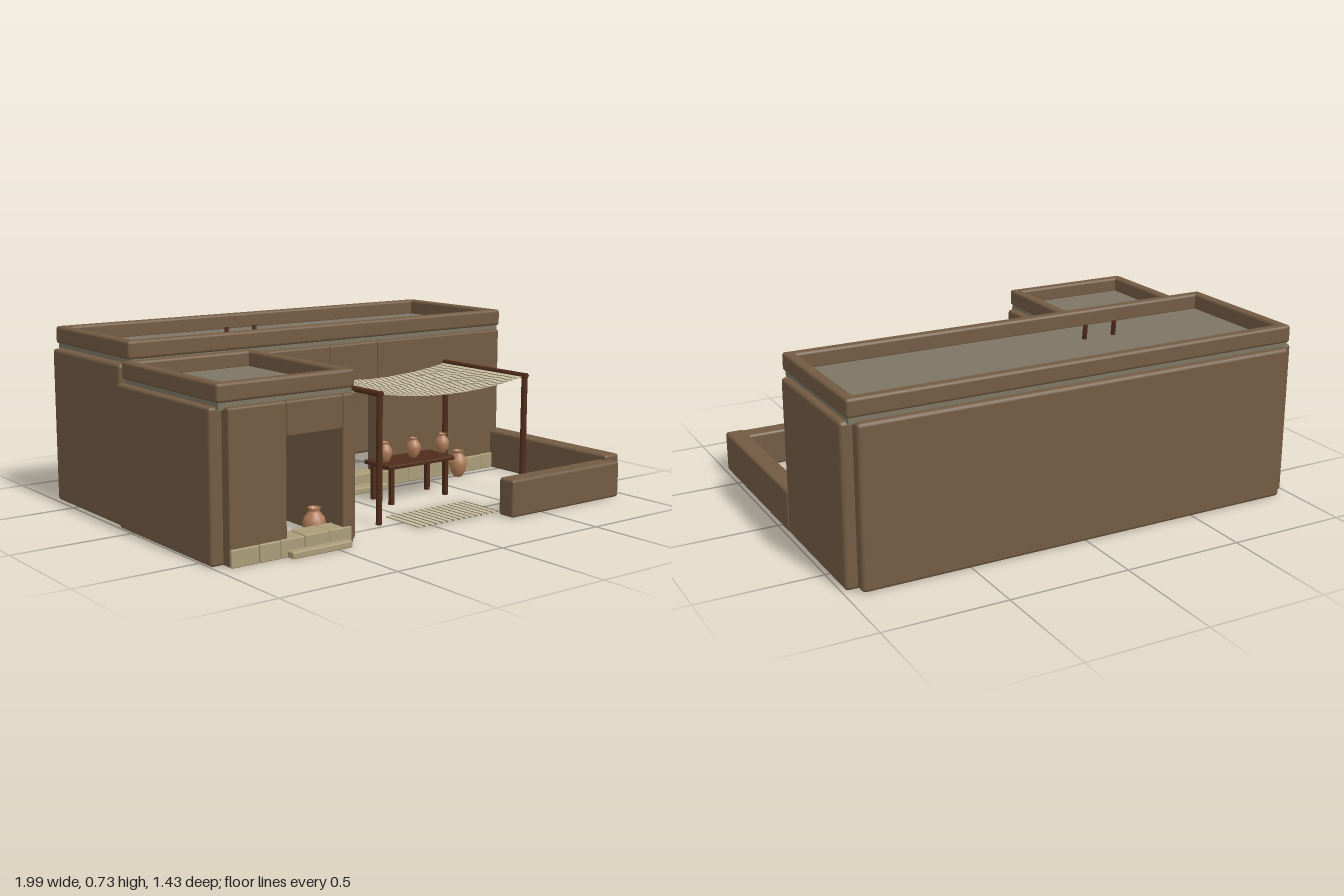
import * as THREE from 'three';
import { RoundedBoxGeometry } from 'three/addons/geometries/RoundedBoxGeometry.js';

const mat = (name, color, side = THREE.FrontSide) => {
  const m = new THREE.MeshStandardMaterial({ color, side });
  m.name = name;
  return m;
};

export function createModel() {
  const root = new THREE.Group();
  root.name = 'courtyardHouse';
  const mud = mat('mudBrick', 0x735b43);
  const roofClay = mat('roofClay', 0x7d7664);
  const stone = mat('paleStone', 0xab9d79);
  const wood = mat('darkWood', 0x4f2c1a);
  const clay = mat('terracotta', 0xb07c58);
  const reed = mat('paleReed', 0xc6bc9f, THREE.DoubleSide);
  const reedDark = mat('darkReed', 0x675f4d, THREE.DoubleSide);

  const add = (parent, name, geometry, material) => {
    const m = new THREE.Mesh(geometry, material);
    m.name = name;
    parent.add(m);
    return m;
  };
  const group = (name) => {
    const g = new THREE.Group();
    g.name = name;
    root.add(g);
    return g;
  };
  // Box given by its limits on each axis; r rounds the edges
  const block = (parent, name, material, [x0, x1], [y0, y1], [z0, z1], r = 0) => {
    const s = [x1 - x0, y1 - y0, z1 - z0];
    const g = r ? new RoundedBoxGeometry(...s, 2, r) : new THREE.BoxGeometry(...s);
    add(parent, name, g, material).position.set((x0 + x1) / 2, (y0 + y1) / 2, (z0 + z1) / 2);
  };
  // Round pole between two points
  const pole = (parent, name, a, b, r) => {
    const p = new THREE.Vector3(...a), q = new THREE.Vector3(...b);
    const m = add(parent, name, new THREE.CylinderGeometry(r, r, p.distanceTo(q), 10), wood);
    m.position.copy(p).lerp(q, 0.5);
    m.quaternion.setFromUnitVectors(new THREE.Vector3(0, 1, 0), q.sub(p).normalize());
  };
  // Four parapet beams round a roof slab
  const roof = (parent, x, z, ySlab, y) => {
    const t = 0.045;
    block(parent, 'roofSlab', roofClay, [x[0] + 0.01, x[1] - 0.01], ySlab, [z[0] + 0.01, z[1] - 0.01]);
    block(parent, 'parapetBack', mud, x, y, [z[0], z[0] + t], 0.012);
    block(parent, 'parapetFront', mud, x, y, [z[1] - t, z[1]], 0.012);
    block(parent, 'parapetRight', mud, [x[0], x[0] + t], y, z, 0.012);
    block(parent, 'parapetLeft', mud, [x[1] - t, x[1]], y, z, 0.012);
  };
  // Front wall with a doorway
  const doorWall = (parent, x, door, height, z) => {
    block(parent, 'frontWallRight', mud, [x[0], door[0]], [0, height], z, 0.008);
    block(parent, 'frontWallLeft', mud, [door[1], x[1]], [0, height], z, 0.008);
    block(parent, 'doorLintel', mud, door, [0.44, height], z, 0.008);
  };
  // Row of uneven base stones showing on both sides of a wall
  let seed = 7;
  const rand = () => (seed = (seed * 16807) % 2147483647) / 2147483647;
  const stones = (parent, x0, x1, z) => {
    const n = Math.round((x1 - x0) / 0.105), w = (x1 - x0) / n;
    let a = x0;
    for (let i = 0; i < n; i++) {
      const b = i === n - 1 ? x1 : x0 + (i + 1) * w + (rand() - 0.5) * 0.03;
      const d = rand() * 0.006;
      block(parent, 'baseStone', stone, [a + 0.001, b - 0.001], [0, 0.066 + rand() * 0.006], [z[0] + d, z[1] - d], 0.004);
      a = b;
    }
  };

  // Main house
  const house = group('mainHouse');
  const H = 0.643;
  block(house, 'backWall', mud, [-0.94, 0.94], [0, H], [-0.715, -0.64], 0.015);
  for (const s of [-1, 1]) {
    const x = s < 0 ? [-0.988, -0.912] : [0.912, 0.988];
    block(house, 'sideWall', mud, x, [0, H], [-0.67, -0.09], 0.015);
  }
  doorWall(house, [-0.94, 0.945], [-0.02, 0.235], H, [-0.115, -0.042]);
  stones(house, -0.94, 0.93, [-0.127, -0.03]);
  block(house, 'doorstep', stone, [-0.03, 0.245], [0, 0.026], [-0.04, 0.025], 0.005);
  roof(house, [-0.96, 0.97], [-0.695, -0.062], [0.635, 0.667], [0.66, 0.732]);

  // Lower side wing
  const wing = group('sideWing');
  const W = 0.57;
  block(wing, 'outerWall', mud, [-1, -0.93], [0, W], [-0.1, 0.58], 0.012);
  block(wing, 'innerWall', mud, [-0.425, -0.36], [0, W], [-0.1, 0.58], 0.012);
  doorWall(wing, [-0.95, -0.405], [-0.705, -0.455], W, [0.55, 0.625]);
  stones(wing, -0.95, -0.42, [0.538, 0.636]);
  block(wing, 'doorstep', stone, [-0.71, -0.44], [0, 0.026], [0.62, 0.667], 0.005);
  roof(wing, [-0.982, -0.385], [-0.085, 0.605], [0.56, 0.594], [0.586, 0.656]);

  // Courtyard walls
  const yard = group('courtyardWalls');
  block(yard, 'courtyardSideWall', mud, [0.906, 0.988], [0, 0.175], [-0.09, 0.672], 0.012);
  block(yard, 'courtyardFrontWall', mud, [0.325, 0.945], [0, 0.155], [0.632, 0.715], 0.012);

  // Awning frame
  const awning = group('awning');
  for (const x of [-0.16, 0.617]) {
    for (const z of [-0.033, 0.467]) pole(awning, 'awningPost', [x, 0, z], [x, 0.53, z], 0.013);
    pole(awning, 'awningBeam', [x, 0.52, -0.045], [x, 0.52, 0.48], 0.012);
  }
  // Sagging striped cover: pale and dark strips side by side
  const x0 = -0.155, x1 = 0.612;
  const coverStrip = (a, b, material) => {
    const g = new THREE.PlaneGeometry(b - a, 0.505, 1, 30).rotateX(-Math.PI / 2);
    g.translate((a + b) / 2, 0, 0.215);
    const p = g.attributes.position;
    for (let i = 0; i < p.count; i++) {
      const t = (p.getX(i) - x0) / (x1 - x0), sag = 4 * t * (1 - t);
      p.setY(i, 0.518 - sag * (0.037 + 0.004 * Math.sin(p.getZ(i) * 62)));
    }
    g.computeVertexNormals();
    add(awning, 'coverStrip', g, material);
  };
  const n = 26, pitch = (x1 - x0) / n;
  for (let i = 0; i < n; i++) {
    const a = x0 + i * pitch;
    coverStrip(a, a + pitch * 0.74, reed);
    coverStrip(a + pitch * 0.74, a + pitch, reedDark);
  }

  // Ground mat
  const mats = group('groundMat');
  for (let i = 0; i < 14; i++) {
    const a = -0.07 + i * 0.03;
    block(mats, 'matStrip', reed, [a, a + 0.022], [0.001, 0.006], [0.4, 0.605]);
    block(mats, 'matStripe', reedDark, [a + 0.022, a + 0.03], [0.001, 0.006], [0.4, 0.605]);
  }

  // Table
  const table = group('table');
  block(table, 'tableTop', wood, [0.05, 0.41], [0.153, 0.17], [0.1, 0.27], 0.004);
  for (const x of [0.082, 0.378])
    for (const z of [0.125, 0.245]) block(table, 'tableLeg', wood, [x - 0.009, x + 0.009], [0, 0.155], [z - 0.009, z + 0.009]);

  // Jars: unit-height profile scaled by radius and height
  const jars = group('jars');
  const profile = [[0, 0], [0.45, 0], [0.8, 0.2], [1, 0.48], [0.88, 0.7], [0.5, 0.86], [0.45, 0.92], [0.6, 1], [0.46, 0.99], [0.35, 0.88], [0, 0.86]];
  const jar = (x, y, z, r, h) =>
    add(jars, 'jar', new THREE.LatheGeometry(profile.map(([a, b]) => new THREE.Vector2(a * r, b * h)), 20), clay)
      .position.set(x, y, z);
  for (const x of [0.095, 0.25, 0.41]) jar(x, 0.17, 0.185, 0.031, 0.085);
  jar(-0.49, 0, 0.49, 0.045, 0.125);
  jar(0.66, 0, 0.01, 0.042, 0.12);
  jar(-0.26, 0, -0.2, 0.055, 0.15);
  jar(0.81, 0, -0.22, 0.085, 0.22);
  jar(0.64, 0, -0.2, 0.065, 0.17);

  // Ladder rising through the roof
  const ladder = group('ladder');
  for (const x of [-0.382, -0.245]) pole(ladder, 'ladderRail', [x, 0, -0.2], [x, 0.725, -0.28], 0.01);
  for (let i = 1; i < 8; i++) {
    const y = i * 0.08, z = -0.2 - (0.08 * y) / 0.725;
    pole(ladder, 'ladderRung', [-0.382, y, z], [-0.245, y, z], 0.007);
  }
  return root;
}
